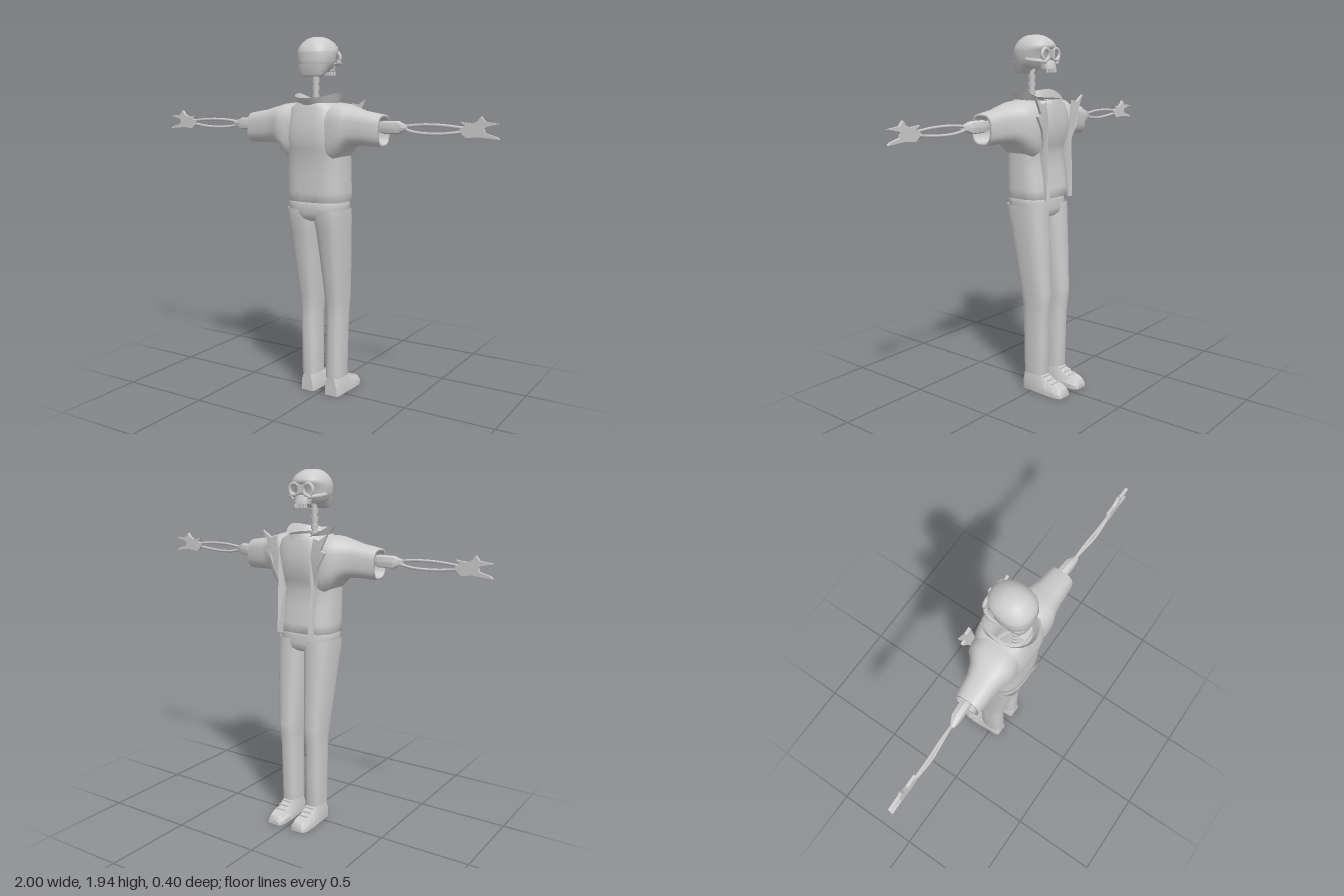
import * as THREE from 'three';
import { toCreasedNormals } from 'three/addons/utils/BufferGeometryUtils.js';

const V = (x, y, z) => new THREE.Vector3(x, y, z);

// Superellipse ring around c with half axes u and v; e < 1 makes it boxier
function ring(c, u, v, e = 0.8, n = 28) {
  const p = (t) => Math.sign(t) * Math.abs(t) ** e;
  return Array.from({ length: n }, (_, i) => {
    const a = (i / n) * Math.PI * 2;
    return c.clone().addScaledVector(u, p(Math.cos(a))).addScaledVector(v, p(Math.sin(a)));
  });
}

// Skin over a list of rings, with optional end caps
function loft(rings, { cap0 = false, cap1 = false, closed = true } = {}) {
  const n = rings[0].length, pts = rings.flat(), idx = [];
  for (let r = 0; r < rings.length - 1; r++)
    for (let i = 0; i < (closed ? n : n - 1); i++) {
      const a = r * n + i, b = r * n + (i + 1) % n;
      idx.push(a, a + n, b, b, a + n, b + n);
    }
  const cap = (r, flip) => {
    const mid = rings[r].reduce((s, p) => s.add(p), V(0, 0, 0)).divideScalar(n);
    const m = pts.push(mid) - 1;
    for (let i = 0; i < n; i++) {
      const a = r * n + i, b = r * n + (i + 1) % n;
      if (flip) idx.push(m, b, a); else idx.push(m, a, b);
    }
  };
  if (cap0) cap(0, false);
  if (cap1) cap(rings.length - 1, true);
  const g = new THREE.BufferGeometry().setFromPoints(pts);
  g.setIndex(idx);
  g.computeVertexNormals();
  return g;
}

// Horizontal ring from its x and z limits
const flat = (y, x0, x1, z0, z1, e, n) =>
  ring(V((x0 + x1) / 2, y, (z0 + z1) / 2), V((x1 - x0) / 2, 0, 0), V(0, 0, (z1 - z0) / 2), e, n);
// Upright ring across x from its y and z limits
const upright = (x, y0, y1, z0, z1, e, n) =>
  ring(V(x, (y0 + y1) / 2, (z0 + z1) / 2), V(0, 0, (z1 - z0) / 2), V(0, (y1 - y0) / 2, 0), e, n);

export function createModel() {
  const root = new THREE.Group();
  const grey = new THREE.MeshStandardMaterial({ color: 0xcccccc, side: THREE.DoubleSide });
  grey.name = 'light grey';

  const add = (name, geo, x = 0, y = 0, z = 0) => {
    const m = new THREE.Mesh(geo, grey);
    m.name = name;
    m.position.set(x, y, z);
    root.add(m);
    return m;
  };
  const pair = (name, geo, x = 0, y = 0, z = 0) => {
    add(name + 'Left', geo, x, y, z);
    add(name + 'Right', geo, -x, y, z).scale.x = -1;
  };
  const extrude = (pts, depth) => toCreasedNormals(new THREE.ExtrudeGeometry(
    new THREE.Shape(pts.map(([x, y]) => new THREE.Vector2(x, y))), { depth, bevelEnabled: false }), 0.5);

  // Jacket body: y, half width, front z, back z
  add('jacketBody', loft([
    [1.10, 0.155, -0.06, 0.16], [1.09, 0.168, -0.082, 0.176], [1.14, 0.17, -0.076, 0.177],
    [1.24, 0.168, -0.062, 0.178], [1.32, 0.168, -0.055, 0.18], [1.37, 0.17, -0.07, 0.192],
    [1.42, 0.17, -0.085, 0.2], [1.48, 0.168, -0.09, 0.198], [1.53, 0.16, -0.087, 0.19],
    [1.58, 0.14, -0.08, 0.18], [1.605, 0.1, -0.074, 0.172],
  ].map(([y, w, f, b]) => flat(y, -w, w, f, b, 0.7, 40))));

  // Sleeves with a turned-in cuff: x, bottom, top, front z, back z
  pair('sleeve', loft([
    [0.09, 1.28, 1.6, -0.06, 0.18], [0.14, 1.3, 1.605, -0.07, 0.188], [0.18, 1.345, 1.6, -0.058, 0.19],
    [0.205, 1.375, 1.592, -0.035, 0.182], [0.24, 1.39, 1.583, -0.01, 0.172], [0.29, 1.392, 1.568, 0.008, 0.164],
    [0.4, 1.39, 1.55, 0.02, 0.157], [0.4, 1.403, 1.537, 0.033, 0.145], [0.31, 1.41, 1.53, 0.04, 0.14],
  ].map(([x, ...r]) => upright(x, ...r, 0.72))));

  // Flared collar, open at the front
  const collarRow = (k) => Array.from({ length: 25 }, (_, i) => {
    const a = -2.55 + (i / 24) * 5.1, side = Math.abs(Math.sin(a)), back = Math.cos(a);
    const top = 1.63 + 0.025 * side ** 3 - 0.035 * Math.max(0, -back);
    return V(Math.sin(a) * (0.095 + 0.025 * k), 1.585 + (top - 1.585) * k, 0.055 + back * (0.115 + 0.03 * k));
  });
  add('collar', loft([0, 0.5, 1].map(collarRow), { closed: false }));

  // Neckline of the shirt
  add('neckline', loft([flat(1.585, -0.105, 0.105, -0.084, 0.165, 0.8), flat(1.61, -0.088, 0.088, -0.08, 0.16, 0.8)]));

  // Lapels: notched strips that follow the chest down to the hem
  const lapel = extrude([
    [0.085, 1.085], [0.112, 1.085], [0.112, 1.2], [0.112, 1.32], [0.125, 1.4], [0.145, 1.46], [0.185, 1.53],
    [0.158, 1.54], [0.2, 1.625], [0.15, 1.59], [0.115, 1.6], [0.1, 1.5], [0.088, 1.4], [0.085, 1.32], [0.085, 1.2],
  ], 0.014);
  const lp = lapel.attributes.position;
  for (let i = 0; i < lp.count; i++) {
    const y = lp.getY(i), dip = Math.exp(-(((y - 1.3) / 0.1) ** 2));
    lp.setZ(i, lp.getZ(i) - 0.1 + 0.034 * dip);
  }
  pair('lapel', toCreasedNormals(lapel, 0.6));

  // Trousers: seat, then one leg per side
  add('trouserSeat', loft([
    [0.985, 0.135, -0.045, 0.13], [1.0, 0.15, -0.062, 0.162], [1.03, 0.16, -0.066, 0.175],
    [1.07, 0.164, -0.064, 0.177], [1.11, 0.162, -0.06, 0.17],
  ].map(([y, w, f, b]) => flat(y, -w, w, f, b, 0.75)), { cap0: true, cap1: true }));
  pair('trouserLeg', loft([
    [0.1, 0.036, 0.118, -0.055, 0.058], [0.1, 0.028, 0.127, -0.068, 0.068], [0.3, 0.031, 0.129, -0.073, 0.069],
    [0.43, 0.033, 0.131, -0.076, 0.07], [0.5, 0.03, 0.133, -0.086, 0.073], [0.56, 0.026, 0.138, -0.09, 0.084],
    [0.68, 0.02, 0.146, -0.082, 0.106], [0.82, 0.012, 0.155, -0.076, 0.132], [0.93, 0.006, 0.16, -0.07, 0.153],
    [1.0, 0, 0.164, -0.067, 0.172], [1.05, 0, 0.164, -0.064, 0.174],
  ].map(([y, ...r]) => flat(y, ...r, 0.75)), { cap0: true }));

  // Shoes: cross-sections from heel to toe: z, half width, height
  pair('shoe', toCreasedNormals(loft([
    [0.066, 0.036, 0.1], [0.05, 0.045, 0.115], [-0.04, 0.048, 0.11], [-0.065, 0.051, 0.092], [-0.1, 0.053, 0.068],
    [-0.16, 0.052, 0.056], [-0.188, 0.044, 0.045], [-0.2, 0.034, 0.025],
  ].map(([z, w, h]) => [[-w, 0], [w, 0], [w, h * 0.45], [w * 0.58, h], [-w * 0.58, h], [-w, h * 0.45]]
    .map(([x, y]) => V(x + 0.078, y, z))), { cap0: true, cap1: true }), 0.6));
  for (const [i, z] of [-0.07, -0.1, -0.13].entries())
    pair('shoeLace' + i, new THREE.BoxGeometry(0.055, 0.008, 0.01), 0.078, 0.09 - i * 0.013, z);

  // Neck bones
  add('spine', new THREE.CylinderGeometry(0.014, 0.014, 0.42, 10), 0, 1.59, 0.09);
  for (let i = 0; i < 9; i++)
    add('vertebra' + i, new THREE.CylinderGeometry(0.021, 0.019, 0.026, 10), 0, 1.44 + i * 0.04, 0.09);

  // Upper arm bone with its elbow end
  pair('elbow', toCreasedNormals(loft([
    [0.2, 1.47, 1.5, 0.07, 0.1], [0.36, 1.465, 1.51, 0.065, 0.105], [0.4, 1.455, 1.52, 0.053, 0.112],
    [0.485, 1.455, 1.52, 0.06, 0.114], [0.505, 1.468, 1.51, 0.07, 0.112], [0.53, 1.478, 1.502, 0.085, 0.108],
  ].map(([x, ...r]) => upright(x, ...r, 0.7, 8)), { cap0: true, cap1: true }), 0.5));

  // Paired forearm bones
  const bone = (pts, r) => new THREE.TubeGeometry(
    new THREE.CatmullRomCurve3(pts.map((p) => V(...p))), 20, r, 7);
  pair('upperForearmBone', bone([[0.49, 1.492, 0.092], [0.6, 1.505, 0.094], [0.72, 1.505, 0.1], [0.83, 1.495, 0.1]], 0.0075));
  pair('lowerForearmBone', bone([[0.49, 1.485, 0.088], [0.58, 1.467, 0.092], [0.7, 1.464, 0.104], [0.83, 1.478, 0.1]], 0.0075));

  // Hands: flat palm, thumb and two long fingers
  pair('hand', extrude([
    [0.805, 1.49], [0.82, 1.465], [0.84, 1.45], [0.9, 1.456], [1.0, 1.447], [0.99, 1.458], [0.93, 1.475],
    [0.925, 1.495], [0.94, 1.505], [1.0, 1.519], [0.93, 1.527], [0.91, 1.552], [0.895, 1.53], [0.87, 1.517],
    [0.81, 1.524], [0.835, 1.505],
  ], 0.016), 0, 0, 0.091);

  // Cranium: y, half width, front z, back z
  add('cranium', loft([
    [1.765, 0.062, 0.02, 0.16], [1.785, 0.086, -0.005, 0.176], [1.82, 0.098, -0.018, 0.18], [1.858, 0.1, -0.024, 0.18],
    [1.868, 0.099, -0.044, 0.178], [1.888, 0.094, -0.044, 0.17], [1.91, 0.078, -0.025, 0.152],
    [1.928, 0.056, 0.005, 0.128], [1.938, 0.03, 0.03, 0.1],
  ].map(([y, w, f, b]) => flat(y, -w, w, f, b, 0.9)), { cap0: true, cap1: true }));
  add('skullBase', loft([
    [1.738, 0.06, 0.1, 0.158], [1.75, 0.075, 0.085, 0.172], [1.8, 0.094, 0.04, 0.178],
  ].map(([y, w, f, b]) => flat(y, -w, w, f, b, 0.8)), { cap0: true }));

  // Face: eye rims, cheeks, nose bridge and upper jaw with teeth
  pair('eyeRim', new THREE.TorusGeometry(0.03, 0.01, 7, 16), 0.042, 1.838, -0.036);
  pair('cheekBone', bone([[0.045, 1.802, -0.045], [0.075, 1.805, -0.025], [0.092, 1.808, 0.01], [0.094, 1.812, 0.05]], 0.011));
  add('noseBridge', new THREE.BoxGeometry(0.018, 0.04, 0.03), 0, 1.843, -0.043);
  add('upperJaw', toCreasedNormals(loft([
    flat(1.765, -0.042, 0.042, -0.058, 0.02, 0.8, 16), flat(1.785, -0.046, 0.046, -0.054, 0.02, 0.8, 16),
    flat(1.808, -0.05, 0.05, -0.042, 0.02, 0.8, 16),
  ], { cap0: true, cap1: true }), 0.7));
  for (let i = 0; i < 7; i++) {
    const a = (i - 3) * 0.3;
    add('tooth' + i, new THREE.BoxGeometry(0.009, 0.022, 0.008), Math.sin(a) * 0.044, 1.757, -0.014 - Math.cos(a) * 0.042).rotation.y = a;
  }
  return root;
}
